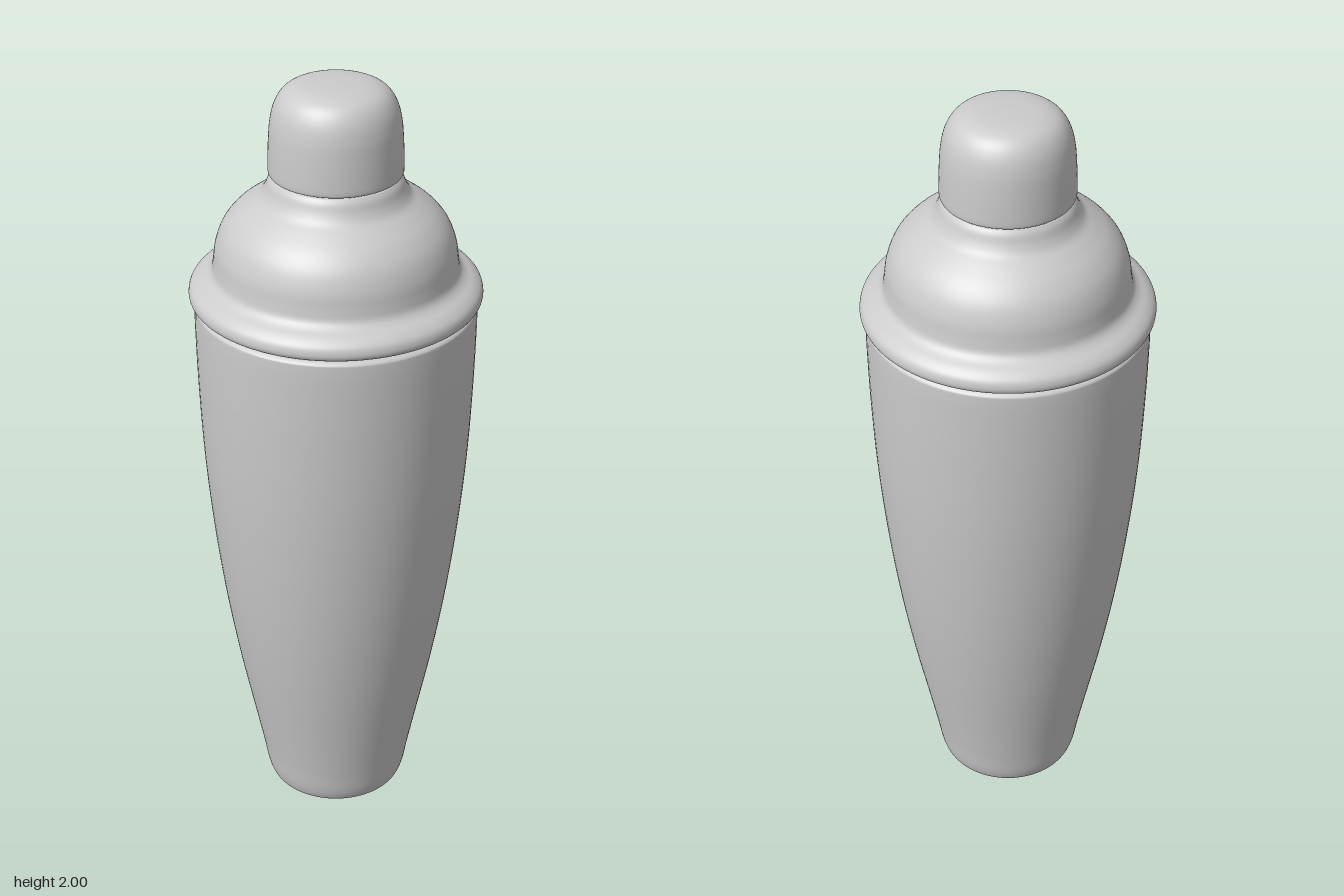
import * as THREE from 'three';

const SEGMENTS = 96;

// Smooth curve through [radius, height] points.
function curve(steps, ...pts) {
  return new THREE.SplineCurve(pts.map(([r, y]) => new THREE.Vector2(r, y)))
    .getPoints(steps)
    .map((p) => new THREE.Vector2(Math.max(p.x, 0), p.y));
}

// Straight run between two [radius, height] points.
const line = (a, b) => [new THREE.Vector2(...a), new THREE.Vector2(...b)];

// Revolves joined runs; the doubled point where two runs meet keeps a crisp edge.
function turned(name, ...runs) {
  const mesh = new THREE.Mesh(
    new THREE.LatheGeometry(runs.flat(), SEGMENTS),
    new THREE.MeshStandardMaterial({ color: 0xcccccc, side: THREE.DoubleSide })
  );
  mesh.name = name;
  return mesh;
}

export function createModel() {
  const group = new THREE.Group();
  group.name = 'cocktailShaker';

  // Tapered cup with a flat foot and softly rounded heel
  group.add(turned('cup',
    line([0, 0], [0.165, 0]),
    curve(60, [0.165, 0], [0.176, 0.008], [0.187, 0.04], [0.198, 0.1], [0.218, 0.2],
      [0.258, 0.4], [0.291, 0.6], [0.316, 0.8], [0.334, 1.0], [0.344, 1.2],
      [0.348, 1.36], [0.348, 1.42], [0.346, 1.432], [0.338, 1.438]),
    line([0.338, 1.438], [0.31, 1.44])
  ));

  // Domed strainer lid: rolled rim, shoulder and flared neck
  group.add(turned('lid',
    line([0.31, 1.435], [0.335, 1.445]),
    line([0.335, 1.445], [0.35, 1.447]),
    curve(70, [0.35, 1.447], [0.358, 1.453], [0.361, 1.465], [0.356, 1.482], [0.34, 1.497],
      [0.317, 1.51], [0.304, 1.525], [0.299, 1.55], [0.293, 1.59], [0.276, 1.634],
      [0.247, 1.67], [0.212, 1.697], [0.186, 1.715], [0.172, 1.735], [0.163, 1.757],
      [0.155, 1.768]),
    line([0.155, 1.768], [0.14, 1.775])
  ));

  // Rounded cap over the neck
  group.add(turned('cap',
    line([0.13, 1.774], [0.158, 1.774]),
    curve(50, [0.158, 1.774], [0.163, 1.78], [0.163, 1.81], [0.161, 1.86], [0.157, 1.905],
      [0.147, 1.945], [0.128, 1.975], [0.1, 1.991], [0.06, 1.998], [0, 2])
  ));

  return group;
}
